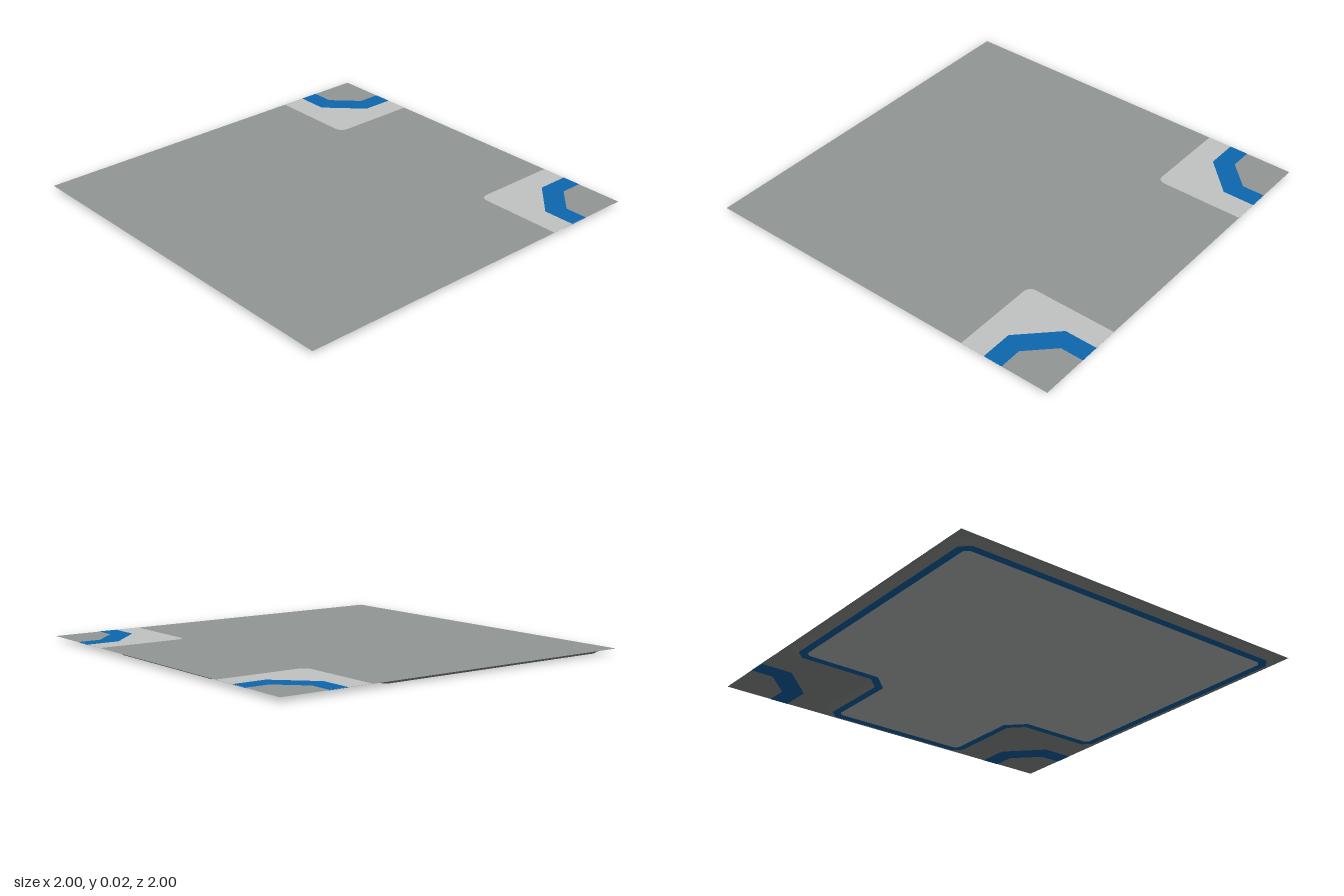
import * as THREE from 'three';

const grey = new THREE.MeshStandardMaterial({ color: 0x939796, side: THREE.DoubleSide });
grey.name = 'grey';
const lightGrey = new THREE.MeshStandardMaterial({ color: 0xc2c4c3, side: THREE.DoubleSide });
lightGrey.name = 'light grey';
const blue = new THREE.MeshStandardMaterial({ color: 0x0d67ae, side: THREE.DoubleSide });
blue.name = 'blue';

const TOP = 0.022;

const toShape = (pts) => new THREE.Shape(pts.map(([x, z]) => new THREE.Vector2(x, z)));

// Flat face at height y; shape coordinates are (x, z)
function flat(name, shape, y, up, material) {
  const geo = new THREE.ShapeGeometry(shape);
  geo.rotateX(Math.PI / 2); // faces down
  if (up) {
    const index = geo.index.array;
    for (let i = 0; i < index.length; i += 3) {
      [index[i], index[i + 1]] = [index[i + 1], index[i]];
    }
    geo.computeVertexNormals();
  }
  const mesh = new THREE.Mesh(geo, material);
  mesh.position.y = y;
  mesh.name = name;
  return mesh;
}

// Square with two notched corners on +x, inset by d, every corner chamfered
function outline(d) {
  const e = 0.98 - d, n = 0.465 - d, k = d * 0.586;
  const corners = [
    [-e, -e], [n, -e], [n, -n], [e, -n], [e, n], [n, n], [n, e], [-e, e],
  ];
  const pts = [];
  corners.forEach(([x, z], i) => {
    const c = i === 2 || i === 5 ? 0.05 + k : 0.065 - k;
    for (const j of [i + 7, i + 1]) {
      const [px, pz] = corners[j % 8];
      pts.push([x + Math.sign(px - x) * c, z + Math.sign(pz - z) * c]);
    }
  });
  return pts;
}

// Sloping wall joining two outlines
function wall(name, upper, lower, yUpper, yLower, material) {
  const pos = [];
  upper.forEach((a, i) => {
    const j = (i + 1) % upper.length;
    const b = upper[j], c = lower[i], d = lower[j];
    pos.push(a[0], yUpper, a[1], b[0], yUpper, b[1], c[0], yLower, c[1]);
    pos.push(b[0], yUpper, b[1], d[0], yLower, d[1], c[0], yLower, c[1]);
  });
  const geo = new THREE.BufferGeometry();
  geo.setAttribute('position', new THREE.Float32BufferAttribute(pos, 3));
  geo.computeVertexNormals();
  const mesh = new THREE.Mesh(geo, material);
  mesh.name = name;
  return mesh;
}

export function createModel() {
  const model = new THREE.Group();
  model.name = 'floorTile';

  // Thin top sheet
  const square = toShape([[-1, -1], [1, -1], [1, 1], [-1, 1]]);
  model.add(flat('topSheet', square, TOP, true, grey));

  // Raised slab underneath, with a blue border on its lower face
  const rim = outline(0), foot = outline(0.035), inner = outline(0.075);
  model.add(wall('slabBevel', rim, foot, TOP - 0.001, 0, grey));
  const border = toShape(foot);
  border.holes.push(new THREE.Path(inner.map(([x, z]) => new THREE.Vector2(x, z))));
  model.add(flat('undersideBorder', border, 0, false, blue));
  model.add(flat('underside', toShape(inner), 0, false, lightGrey));

  // Corner markings, mirrored front to back
  for (const s of [1, -1]) {
    const corner = new THREE.Group();
    corner.name = s > 0 ? 'frontCorner' : 'backCorner';

    const pad = new THREE.Shape();
    pad.moveTo(0.65, s);
    pad.lineTo(0.52, s);
    pad.lineTo(0.52, 0.565 * s);
    pad.quadraticCurveTo(0.52, 0.52 * s, 0.565, 0.52 * s);
    pad.lineTo(1, 0.52 * s);
    pad.lineTo(1, 0.65 * s);
    pad.lineTo(0.83, 0.65 * s);
    pad.lineTo(0.65, 0.83 * s);
    corner.add(flat('cornerPad', pad, TOP + 0.001, true, lightGrey));

    const stripe = toShape([
      [0.65, 1], [0.65, 0.83], [0.83, 0.65], [1, 0.65],
      [1, 0.75], [0.88, 0.75], [0.75, 0.88], [0.75, 1],
    ].map(([x, z]) => [x, z * s]));
    corner.add(flat('cornerStripeTop', stripe, TOP + 0.001, true, blue));
    corner.add(flat('cornerStripeUnder', stripe, TOP - 0.001, false, blue));
    model.add(corner);
  }
  return model;
}
